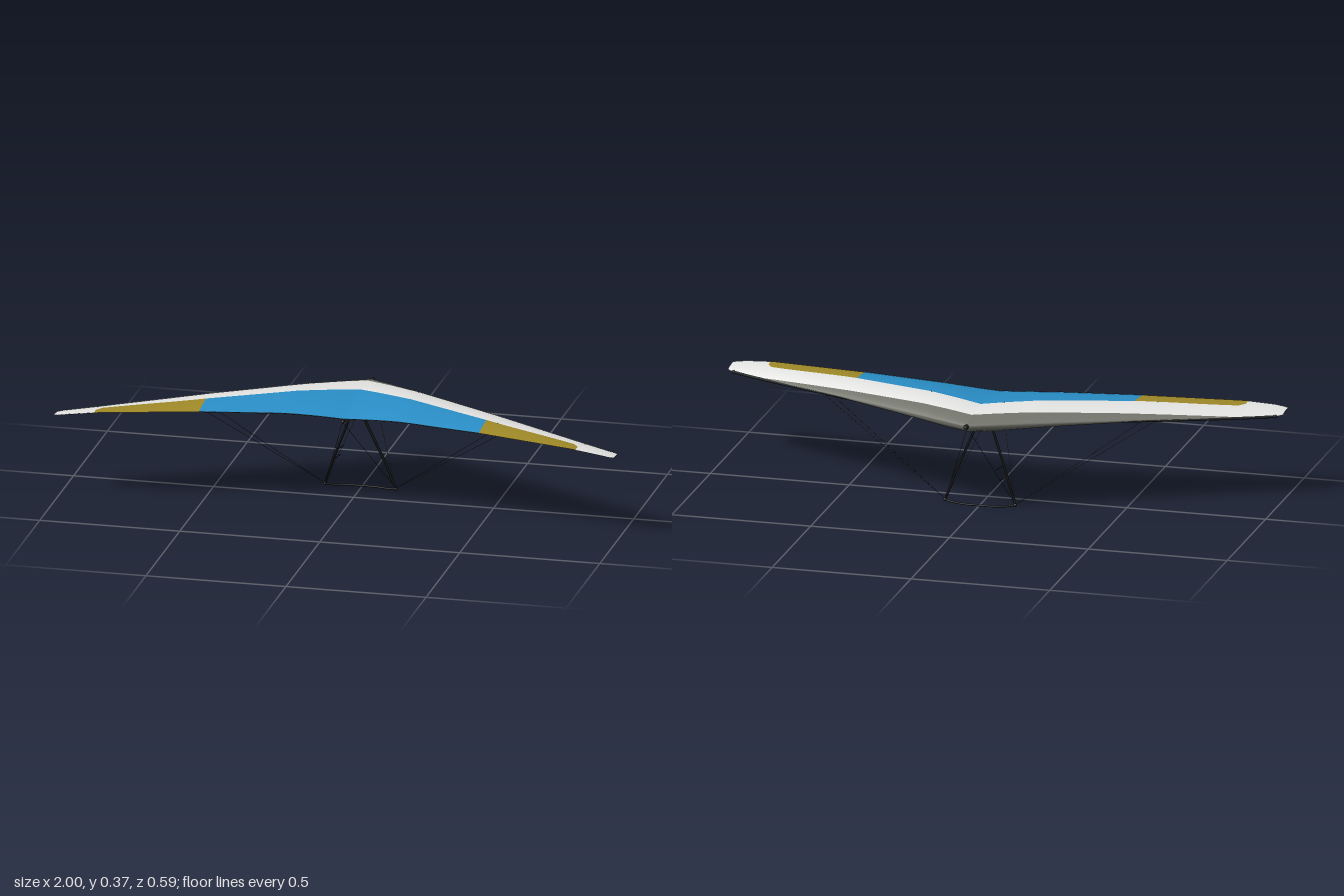
import * as THREE from 'three';

const mat = (name, color, side = THREE.FrontSide) =>
  Object.assign(new THREE.MeshStandardMaterial({ color, side }), { name });

// Wing stations: span, z and y of the leading and trailing edge, camber, belly depth
const STATIONS = [
  [0, -0.28, 0.155, 0.338, 0.338, 0.028, 0.036],
  [0.08, -0.24, 0.157, 0.336, 0.342, 0.031, 0.036],
  [0.2, -0.18, 0.168, 0.333, 0.347, 0.033, 0.03],
  [0.5, -0.03, 0.217, 0.325, 0.346, 0.024, 0.014],
  [0.85, 0.145, 0.282, 0.314, 0.336, 0.009, 0.006],
  [0.95, 0.195, 0.296, 0.311, 0.327, 0.006, 0.004],
  [0.985, 0.213, 0.297, 0.311, 0.322, 0.004, 0.003],
  [1, 0.228, 0.292, 0.312, 0.32, 0.002, 0.001],
];
const { lerp, clamp, smoothstep } = THREE.MathUtils;

function station(s) {
  let i = 0;
  while (i < STATIONS.length - 2 && s > STATIONS[i + 1][0]) i++;
  const a = STATIONS[i], b = STATIONS[i + 1];
  const k = (s - a[0]) / (b[0] - a[0]);
  return a.map((v, j) => lerp(v, b[j], k));
}

// Chord fraction of a line given by its z
function chordAt(s, z) {
  const [, zl, zt] = station(s);
  return clamp((z - zl) / (zt - zl), 0, 1);
}

// Panel boundaries as chord fractions
const stripEdge = s => chordAt(s, station(s)[1] + 0.07 * Math.max(0, 1 - s / 0.87));
const colourEdge = s => lerp(chordAt(s, -0.095 + 0.4 * s - 0.02 * smoothstep(s, 0.5, 0.85)),
  0.74, smoothstep(s, 0.842, 0.86));
const underEdge = s => lerp(0.47 - 0.05 * smoothstep(s, 0, 0.1) + 0.13 * smoothstep(s, 0.1, 0.45),
  0.92, smoothstep(s, 0.45, 0.55)) + 0.08 * smoothstep(s, 0.8, 0.87);

function topPoint(s, t) {
  const [, zl, zt, yl, yt, h] = station(s);
  const camber = Math.pow(t, 0.6) * (1 - t) / 0.347;
  return [s, lerp(yl, yt, t) + h * camber, lerp(zl, zt, t)];
}

function underPoint(s, t) {
  const [, , , yl, , , belly] = station(s);
  const edge = underEdge(s), u = clamp(t / edge, 0, 1);
  const [, yEdge] = topPoint(s, edge);
  const y = lerp(yl, yEdge - 0.001, u) - belly * Math.sqrt(u) * (1 - u) / 0.385;
  return [s, y, topPoint(s, t)[2]];
}

// Grid panel between two spans and two chord boundaries
function panel(point, s0, s1, t0, t1, side, up) {
  const NS = 40, NT = 14, pos = [], idx = [];
  for (let i = 0; i <= NS; i++) {
    const s = lerp(s0, s1, i / NS);
    for (let j = 0; j <= NT; j++) {
      const a = t0(s), v = j / NT;
      const t = lerp(a, t1(s), a === 0 ? v * v : v);
      const [x, y, z] = point(s, t);
      pos.push(x * side, y, z);
    }
  }
  for (let i = 0; i < NS; i++) for (let j = 0; j < NT; j++) {
    const a = i * (NT + 1) + j, b = a + 1, c = a + NT + 1, d = c + 1;
    if ((side > 0) === up) idx.push(a, b, c, b, d, c);
    else idx.push(a, c, b, b, c, d);
  }
  const g = new THREE.BufferGeometry();
  g.setAttribute('position', new THREE.Float32BufferAttribute(pos, 3));
  g.setIndex(idx);
  g.computeVertexNormals();
  return g;
}

export function createModel() {
  const model = new THREE.Group();
  model.name = 'hangGlider';
  const D = THREE.DoubleSide;
  const white = mat('white sail', 0xe6e6e4, D);
  const blue = mat('blue sail', 0x2a8fc8, D);
  const gold = mat('gold sail', 0xa08a28, D);
  const grey = mat('grey leading edge', 0x72736a, D);
  const under = mat('light grey lower sail', 0xc6c4c4, D);
  const blackSail = mat('black sail', 0x161616, D);
  const black = mat('black frame', 0x1e2020);
  const wireMat = mat('wire', 0x2c2c2c);

  const add = (name, geometry, material) => {
    const m = new THREE.Mesh(geometry, material);
    m.name = name;
    model.add(m);
    return m;
  };

  // Tube through points; flat > 1 narrows it in x to a streamlined section
  const tube = (name, pts, r, material = black, flat = 1) => {
    const v = pts.map(p => new THREE.Vector3(p[0] * flat, p[1], p[2]));
    const straight = v.length === 2;
    const curve = straight ? new THREE.LineCurve3(...v) : new THREE.CatmullRomCurve3(v);
    const g = new THREE.TubeGeometry(curve, straight ? 1 : 24, r, 10);
    g.scale(1 / flat, 1, 1);
    return add(name, g, material);
  };
  const ball = (name, p, r, stretch = 1) => {
    const m = add(name, new THREE.SphereGeometry(r, 16, 12), black);
    m.position.set(...p);
    m.scale.z = stretch;
  };

  const zero = () => 0, one = () => 1;
  const underStrip = s => 0.06 * underEdge(s);
  for (const side of [1, -1]) {
    const n = side > 0 ? 'left' : 'right';
    const X = (x, y, z) => [x * side, y, z];

    // Sail: upper skin
    add(n + 'LeadingStrip', panel(topPoint, 0, 0.87, zero, stripEdge, side, true), grey);
    add(n + 'WhitePanel', panel(topPoint, 0, 0.86, stripEdge, colourEdge, side, true), white);
    add(n + 'WhiteTip', panel(topPoint, 0.86, 1, stripEdge, one, side, true), white);
    add(n + 'BluePanel', panel(topPoint, 0, 0.5, colourEdge, one, side, true), blue);
    add(n + 'GoldPanel', panel(topPoint, 0.5, 0.86, colourEdge, one, side, true), gold);

    // Sail: lower skin, with the leading strip wrapped slightly under
    add(n + 'UnderStrip', panel(underPoint, 0, 0.87, zero, underStrip, side, false), grey);
    add(n + 'UnderPanel', panel(underPoint, 0, 0.87, underStrip, underEdge, side, false), under);
    add(n + 'UnderTip', panel(underPoint, 0.87, 1, zero, one, side, false), blackSail);

    // Leading edge spar, inside the sail near the nose
    tube(n + 'Spar', [X(0, 0.337, -0.262), X(0.25, 0.331, -0.14), X(0.5, 0.322, -0.021),
      X(0.9, 0.31, 0.172), X(0.975, 0.309, 0.212)], 0.005);
    ball(n + 'SparCap', X(0.975, 0.309, 0.212), 0.0065);

    // Trailing edge cord
    const cord = [0, 0.08, 0.2, 0.35, 0.5].map(s => topPoint(s, 1));
    tube(n + 'TrailingCord', cord.map(p => X(...p)), 0.0013);

    // Control frame upright and corner
    tube(n + 'Upright', [X(0.006, 0.326, -0.04), X(0.064, 0.18, -0.069), X(0.095, 0.1, -0.088),
      X(0.121, 0.025, -0.096)], 0.0078, black, 2.3);
    tube(n + 'UprightFoot', [X(0.12, 0.03, -0.096), X(0.126, 0.01, -0.1)], 0.0045);
    ball(n + 'Corner', X(0.126, 0.01, -0.1), 0.0065);

    // Rigging wires from the corner
    const corner = X(0.126, 0.012, -0.1);
    const ends = {
      NoseWire: X(0, 0.331, -0.268), TailWire: X(0, 0.33, 0.163),
      SideWire: X(0.6, 0.322, 0.017), InnerSideWire: X(0.56, 0.325, 0),
    };
    for (const [w, end] of Object.entries(ends)) tube(n + w, [corner, end], 0.0008, wireMat);
  }

  // Keel, nose fitting and apex joint
  tube('keel', [[0, 0.337, -0.28], [0, 0.33, 0.163]], 0.006);
  ball('keelCap', [0, 0.33, 0.16], 0.006);
  ball('noseFitting', [0, 0.338, -0.284], 0.0085, 1.65);
  ball('apexJoint', [0, 0.325, -0.04], 0.009);

  // Curved base bar
  tube('baseBar', [
    [-0.126, 0.01, -0.1], [-0.1, 0.006, -0.107], [-0.06, 0.005, -0.118], [0, 0.005, -0.121],
    [0.06, 0.005, -0.118], [0.1, 0.006, -0.107], [0.126, 0.01, -0.1],
  ], 0.0036);

  // Instrument pegs on the right upright
  tube('upperPeg', [[-0.08, 0.143, -0.08], [-0.066, 0.143, -0.135]], 0.0014);
  tube('lowerPeg', [[-0.093, 0.106, -0.088], [-0.08, 0.106, -0.142]], 0.0014);

  return model;
}
